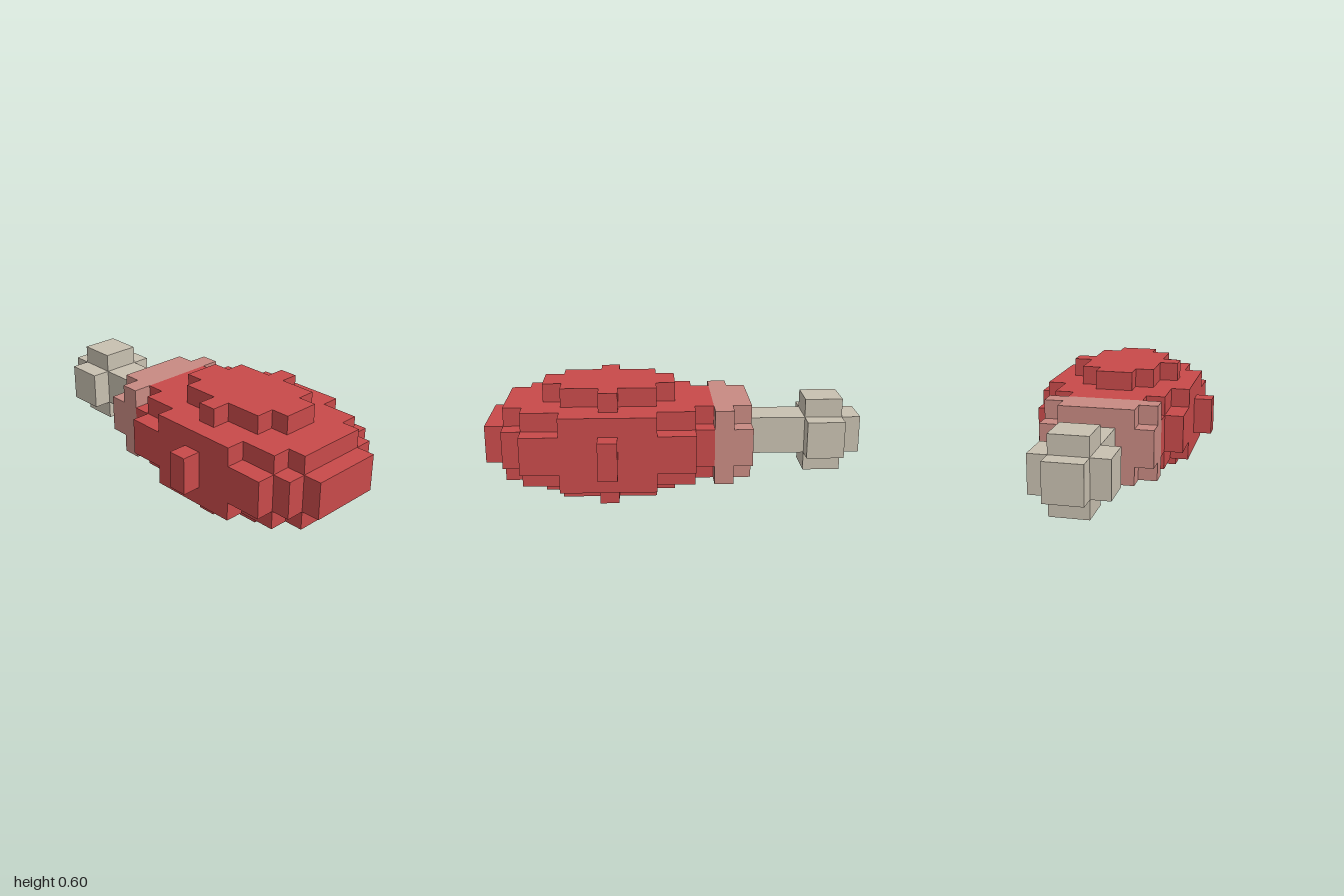
import * as THREE from 'three';

const red = new THREE.MeshStandardMaterial({ color: 0xc84a4a });
red.name = 'roastedMeat';
const pink = new THREE.MeshStandardMaterial({ color: 0xc88a82 });
pink.name = 'paleMeat';
const cream = new THREE.MeshStandardMaterial({ color: 0xc8c0b0 });
cream.name = 'bone';

// Slab with a stepped outline, mirrored in z.
// steps: [xEnd, halfWidth] runs starting at x0; slab spans y0..y1.
function slab(name, material, x0, steps, y0, y1) {
  const side = [];
  let x = x0;
  for (const [xEnd, w] of steps) {
    side.push([x, w], [xEnd, w]);
    x = xEnd;
  }
  const outline = [...side, ...side.map(([px, w]) => [px, -w]).reverse()];
  const shape = new THREE.Shape(outline.map(([px, pz]) => new THREE.Vector2(px, pz)));
  const geo = new THREE.ExtrudeGeometry(shape, { depth: y1 - y0, bevelEnabled: false });
  geo.rotateX(-Math.PI / 2);
  geo.translate(0, y0, 0);
  const mesh = new THREE.Mesh(geo, material);
  mesh.name = name;
  return mesh;
}

function box(name, material, x0, x1, y0, y1, halfZ) {
  const mesh = new THREE.Mesh(new THREE.BoxGeometry(x1 - x0, y1 - y0, halfZ * 2), material);
  mesh.position.set((x0 + x1) / 2, (y0 + y1) / 2, 0);
  mesh.name = name;
  return mesh;
}

export function createModel() {
  const model = new THREE.Group();
  model.name = 'drumstick';

  // Meat: thick middle slab, then shrinking slabs above and below
  const meat = new THREE.Group();
  meat.name = 'meat';
  const middle = [[-0.1, 0.3], [0.3, 0.4], [0.4, 0.5], [0.8, 0.4], [0.9, 0.3], [1, 0.2]];
  const shoulder = [[-0.1, 0.2], [0.1, 0.3], [0.6, 0.4], [0.8, 0.3], [0.9, 0.2]];
  const cap = [[0.1, 0.1], [0.3, 0.2], [0.4, 0.3], [0.6, 0.2], [0.7, 0.1]];
  meat.add(
    slab('meatMiddle', red, -0.2, middle, 0.2, 0.4),
    slab('meatUpper', red, -0.2, shoulder, 0.4, 0.5),
    slab('meatLower', red, -0.2, shoulder, 0.1, 0.2),
    slab('meatTop', red, 0, cap, 0.5, 0.6),
    slab('meatBottom', red, 0, cap, 0, 0.1)
  );

  // Pale collar where the meat meets the bone
  const collar = new THREE.Group();
  collar.name = 'collar';
  const collarEdge = [[-0.3, 0.2], [-0.2, 0.3]];
  collar.add(
    slab('collarMiddle', pink, -0.4, [[-0.2, 0.3]], 0.2, 0.4),
    slab('collarUpper', pink, -0.4, collarEdge, 0.4, 0.5),
    slab('collarLower', pink, -0.4, collarEdge, 0.1, 0.2)
  );

  // Bone: shaft with a cross-shaped knuckle
  const bone = new THREE.Group();
  bone.name = 'bone';
  bone.add(
    slab('boneShaft', cream, -1, [[-0.9, 0.1], [-0.7, 0.2], [-0.4, 0.1]], 0.2, 0.4),
    box('knuckleTop', cream, -0.9, -0.7, 0.4, 0.5, 0.1),
    box('knuckleBottom', cream, -0.9, -0.7, 0.1, 0.2, 0.1)
  );

  model.add(meat, collar, bone);
  return model;
}
